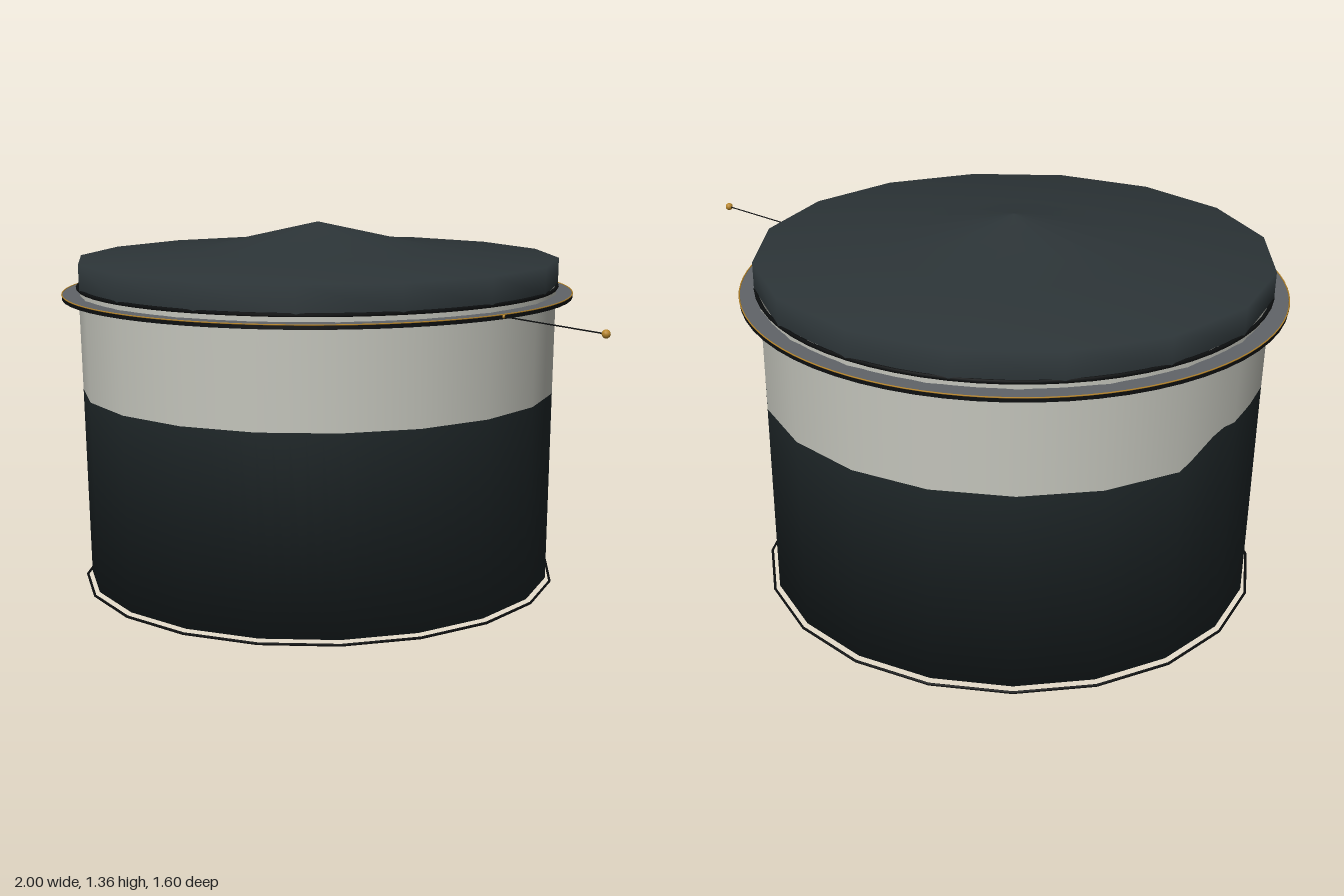
import * as THREE from 'three';

const CX = -0.2; // drum axis
const DARK = 0x2c3437, BODY = 0x1f2729, PALE = 0xc4c5bc, GREY = 0x606468, BLACK = 0x0c0e0f, GOLD = 0xb8862b;
const SIDES = 20, PER_SIDE = 5; // drum wall: sides, and strips within each side

function mesh(name, geometry, color, side = THREE.FrontSide) {
  const m = new THREE.Mesh(geometry, new THREE.MeshStandardMaterial({ color, side }));
  m.name = name;
  return m;
}

// profiles run upwards for faces that look outwards
function lathe(points, segments) {
  return new THREE.LatheGeometry(points.map(([r, y]) => new THREE.Vector2(r, y)), segments);
}

// height of the dark/pale border: level, with a rise on the -x side
const RISE = [[-39, 0.84], [-32, 0.91], [-23, 0.93], [-10, 0.905], [5, 0.91], [17, 0.84]];
function border(x, z) {
  const t = THREE.MathUtils.radToDeg(Math.atan2(-z, -x));
  for (let i = 1; i < RISE.length; i++) {
    const [a, ya] = RISE[i - 1], [b, yb] = RISE[i];
    if (t >= a && t <= b) return ya + (yb - ya) * (t - a) / (b - a);
  }
  return 0.84;
}

// lathe with flat-sided outline and smooth normals; rows at y = 0.84 follow the border
function drumWall(points) {
  const geometry = lathe(points, SIDES * PER_SIDE);
  const p = geometry.attributes.position, step = Math.PI * 2 / SIDES;
  for (let i = 0; i < p.count; i++) {
    const x = p.getX(i), y = p.getY(i), z = p.getZ(i);
    const a = Math.atan2(z, x);
    const off = a - (Math.floor(a / step) + 0.5) * step;
    const k = Math.cos(step / 2) / Math.cos(off);
    p.setXYZ(i, x * k, Math.abs(y - 0.84) < 1e-4 ? border(x, z) : y, z * k);
  }
  return geometry;
}

export function createModel() {
  const model = new THREE.Group();
  const drum = new THREE.Group();
  drum.name = 'drum';
  drum.position.x = CX;
  model.add(drum);

  // dark body with a conical base, shaded smoothly round the corner, and a pale upper band
  drum.add(
    mesh('body', drumWall([[0, 0], [0.74, 0.24], [0.746, 0.84]]), BODY, THREE.DoubleSide),
    mesh('upperBand', drumWall([[0.746, 0.84], [0.75, 1.17]]), PALE, THREE.DoubleSide),
  );

  // lid: short rim, nearly flat shoulder and low cone, all smooth
  drum.add(mesh('lid', lathe([[0.755, 1.17], [0.756, 1.25], [0.378, 1.275], [0, 1.36]], 16), DARK, THREE.DoubleSide));

  // flat collar: grey on top, black edge and underside
  drum.add(
    mesh('collarTop', lathe([[0.799, 1.148], [0.745, 1.148]], 64), GREY),
    mesh('collarEdge', lathe([[0.799, 1.135], [0.799, 1.148]], 64), BLACK),
    mesh('collarUnderside', lathe([[0.745, 1.135], [0.799, 1.135]], 64), BLACK),
  );

  // thin rings: name, radius, thickness, height, sides, colour
  const rings = [
    ['collarTrim', 0.7985, 0.002, 1.148, 96, GOLD],
    ['lidSeam', 0.75, 0.006, 1.168, 64, BLACK],
    ['baseRing', 0.755, 0.004, 0.23, SIDES, BLACK],
  ];
  for (const [name, r, tube, y, segments, color] of rings) {
    const ring = mesh(name, new THREE.TorusGeometry(r, tube, 6, segments).rotateX(Math.PI / 2), color);
    ring.position.y = y;
    drum.add(ring);
  }

  // thin thread reaching out to a bead
  const start = new THREE.Vector3(0.598, 1.142, 0), end = new THREE.Vector3(0.988, 1.14, 0.03);
  model.add(mesh('thread', new THREE.TubeGeometry(new THREE.LineCurve3(start, end), 1, 0.002, 6), BLACK));
  for (const [name, at, r] of [['threadKnot', start, 0.006], ['threadBead', end, 0.012]]) {
    const bead = mesh(name, new THREE.SphereGeometry(r, 12, 8), GOLD);
    bead.position.copy(at);
    model.add(bead);
  }
  return model;
}
